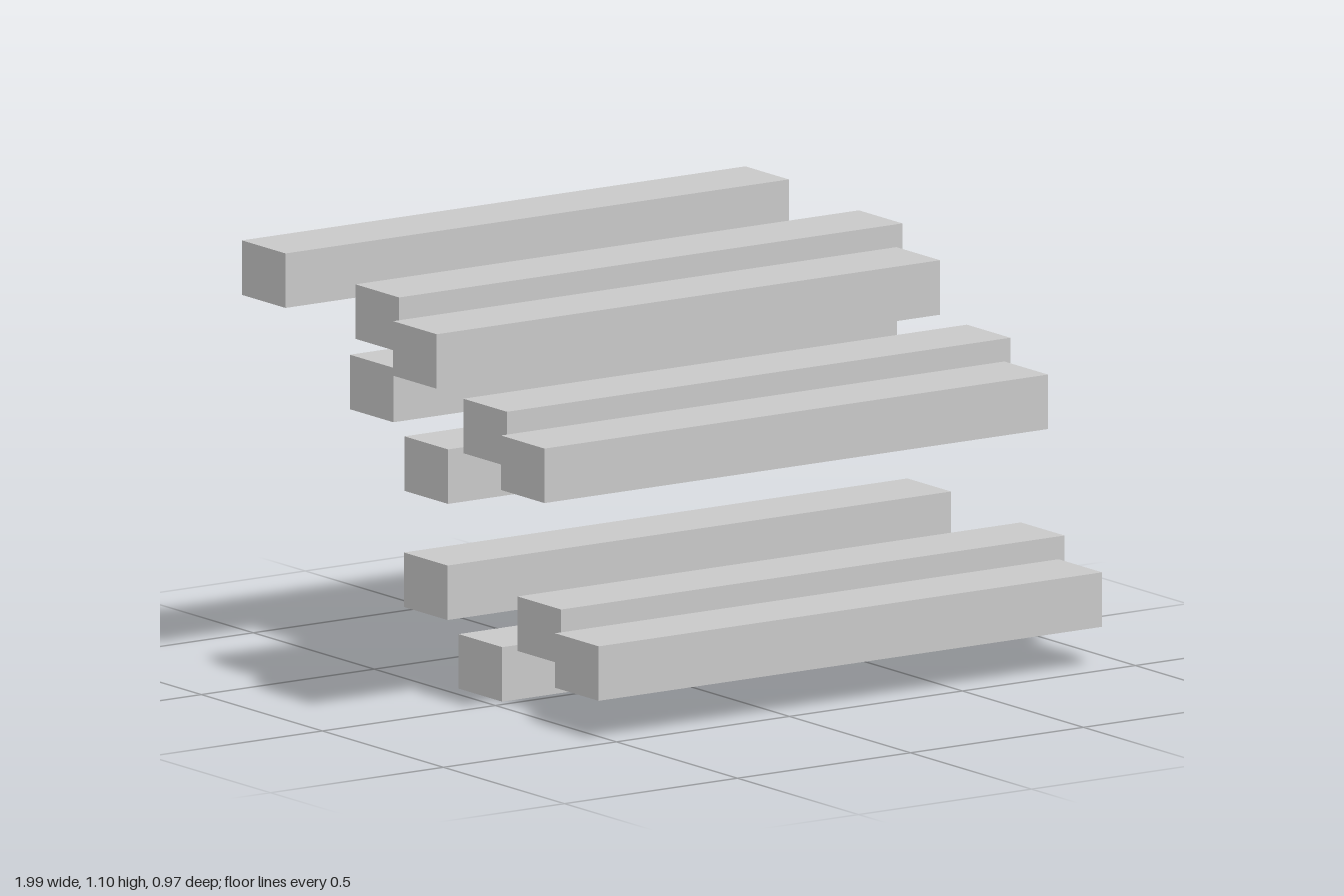
import * as THREE from 'three';

// Every beam shares one size
const LENGTH = 1.455, HEIGHT = 0.132, DEPTH = 0.18;

// Centre of the front beam in each layer
const layers = [
  { name: 'lower', origin: [0.186, 0.169, 0.396], count: 4 },
  { name: 'middle', origin: [0.073, 0.651, 0.334], count: 4 },
  { name: 'upper', origin: [-0.2725, 0.979, 0.382], count: 3 },
];

// Offsets of the beams within a layer; the last one hangs low
const offsets = [
  { name: 'FrontBeam', at: [0, 0, 0] },
  { name: 'InnerBeam', at: [0.0635, 0.038, -0.246] },
  { name: 'BackBeam', at: [0.074, 0.058, -0.73] },
  { name: 'LowBeam', at: [0.0795, -0.102, -0.512] },
];

export function createModel() {
  const model = new THREE.Group();
  model.name = 'beamStack';
  const material = new THREE.MeshStandardMaterial({ color: 0xcccccc, flatShading: true });
  const geometry = new THREE.BoxGeometry(LENGTH, HEIGHT, DEPTH);

  for (const layer of layers) {
    const group = new THREE.Group();
    group.name = layer.name + 'Layer';
    group.position.set(...layer.origin);
    for (const { name, at } of offsets.slice(0, layer.count)) {
      const beam = new THREE.Mesh(geometry, material);
      beam.name = layer.name + name;
      beam.position.set(...at);
      group.add(beam);
    }
    model.add(group);
  }
  return model;
}
